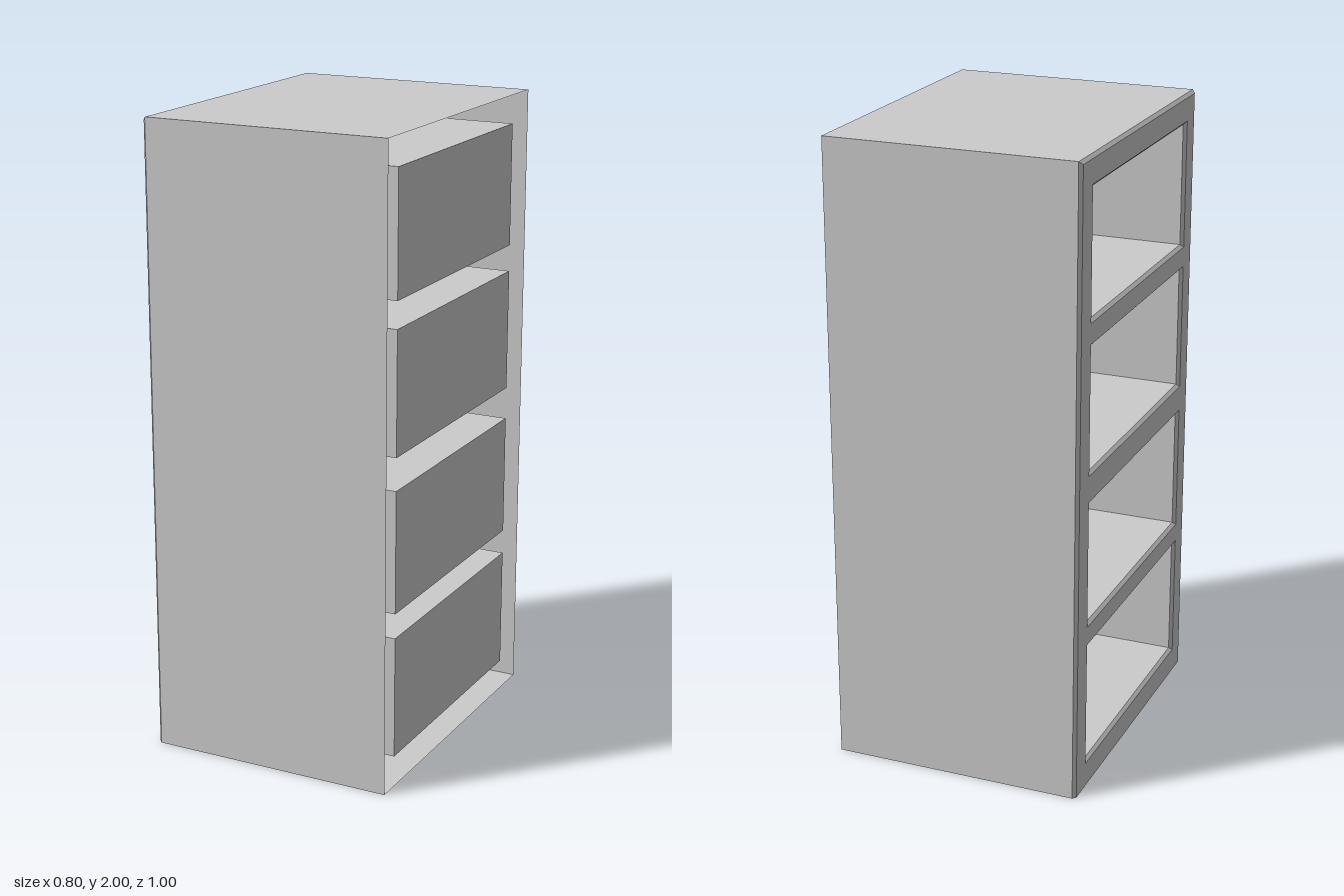
import * as THREE from 'three';

const material = new THREE.MeshStandardMaterial({ color: 0xcccccc, flatShading: true, side: THREE.DoubleSide });

const BEVEL = 0.01;
const FACE_X = -0.4;              // face that carries the openings
const BACK_X = 0.4;               // open side of the cabinet
const OPEN_Z = [-0.413, 0.423];   // width of every opening
const OPEN_H = 0.408;
const OPEN_BOTTOMS = [0.078, 0.545, 1.036, 1.508];

// Corners of a rectangle standing across the x axis
const section = (x, z0, z1, y0, y1) => [[x, y0, z0], [x, y0, z1], [x, y1, z1], [x, y1, z0]];

// Joins rectangles along x into a tube; faces point inward unless outward is set
function tube(name, sections, { outward = false, cap = false } = {}) {
  const points = [];
  const quad = (a, b, c, d) => points.push(...(outward ? [a, c, b, a, d, c] : [a, b, c, a, c, d]));
  for (let s = 0; s < sections.length - 1; s++) {
    const near = sections[s], far = sections[s + 1];
    for (let i = 0; i < 4; i++) {
      const j = (i + 1) % 4;
      quad(near[i], near[j], far[j], far[i]);
    }
  }
  if (cap) quad(...sections[sections.length - 1]);
  const geometry = new THREE.BufferGeometry();
  geometry.setAttribute('position', new THREE.Float32BufferAttribute(points.flat(), 3));
  geometry.computeVertexNormals();
  const mesh = new THREE.Mesh(geometry, material);
  mesh.name = name;
  return mesh;
}

// Traces a rectangle into a shape or hole
function traceRect(path, z0, z1, y0, y1) {
  path.moveTo(z0, y0);
  path.lineTo(z1, y0);
  path.lineTo(z1, y1);
  path.lineTo(z0, y1);
  path.closePath();
  return path;
}

export function createModel() {
  const group = new THREE.Group();
  group.name = 'cabinet';

  // Outer walls, bevelled around the face on the sides and top
  group.add(tube('outerShell', [
    section(FACE_X, -0.5 + BEVEL, 0.5 - BEVEL, 0, 2 - BEVEL),
    section(FACE_X + BEVEL, -0.5, 0.5, 0, 2),
    section(BACK_X, -0.5, 0.5, 0, 2),
  ], { outward: true }));

  // Face frame with four openings
  const [z0, z1] = OPEN_Z;
  const face = traceRect(new THREE.Shape(), -0.5 + BEVEL, 0.5 - BEVEL, 0, 2 - BEVEL);
  for (const y of OPEN_BOTTOMS) face.holes.push(traceRect(new THREE.Path(), z0, z1, y, y + OPEN_H));
  const frame = new THREE.Mesh(new THREE.ShapeGeometry(face), material);
  frame.geometry.rotateY(-Math.PI / 2).translate(FACE_X, 0, 0);
  frame.name = 'faceFrame';
  group.add(frame);

  // Deep compartments with bevelled rims
  OPEN_BOTTOMS.forEach((y, i) => {
    const inner = (x) => section(x, z0 + BEVEL, z1 - BEVEL, y + BEVEL, y + OPEN_H - BEVEL);
    group.add(tube(`compartment${i + 1}`, [
      section(FACE_X, z0, z1, y, y + OPEN_H),
      inner(FACE_X + BEVEL),
      inner(BACK_X - 0.01),
    ], { cap: true }));
  });

  return group;
}
